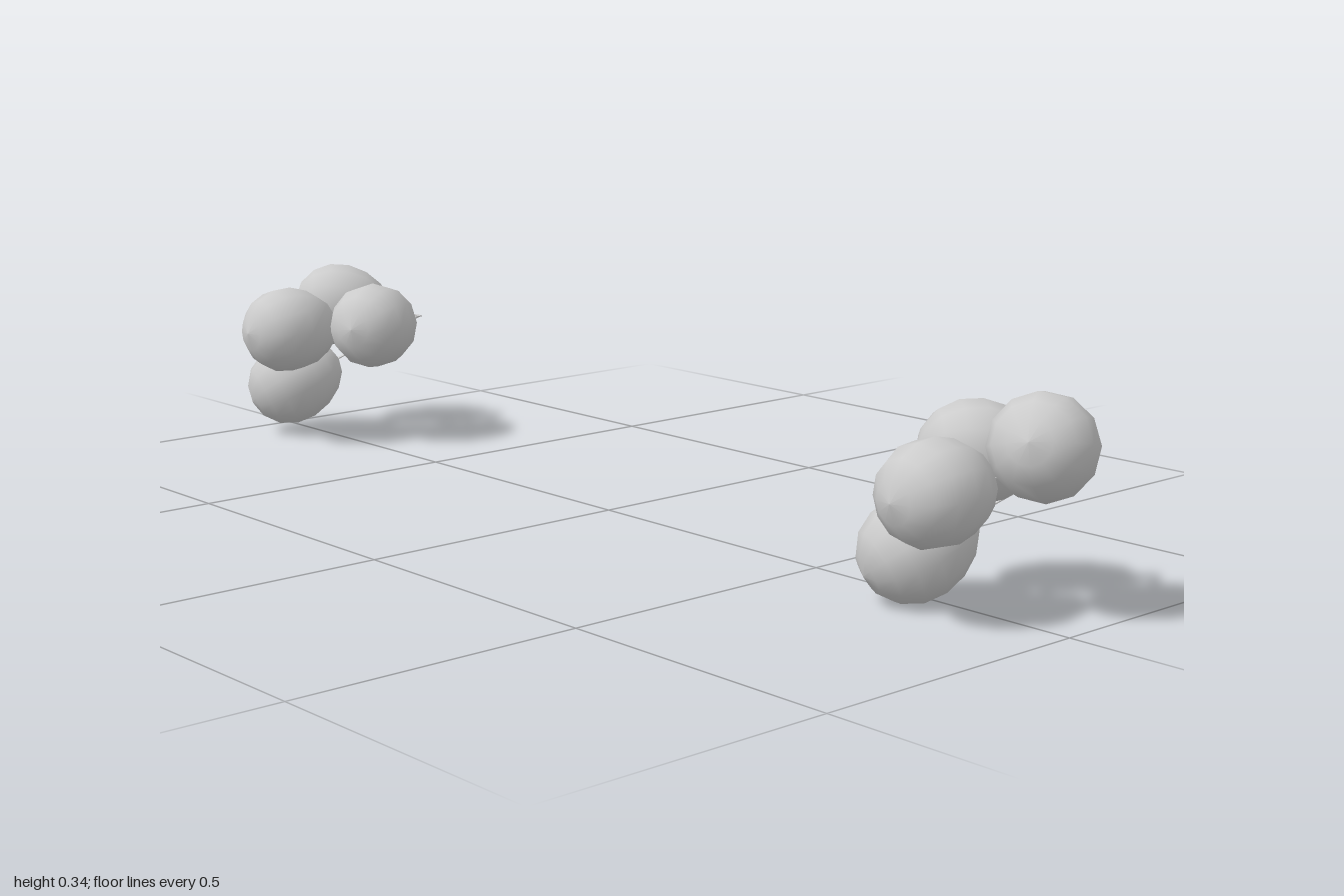
import * as THREE from 'three';

const grey = new THREE.MeshStandardMaterial({ color: 0xcccccc, side: THREE.DoubleSide });
const UP = new THREE.Vector3(0, 1, 0);
const HALF = 0.097;

// Each bunch: the point where the stems meet, then the centres of its pods
const bunches = [
  {
    name: 'rightBunch', knot: [-0.815, 0.221, -0.2],
    pods: [[-0.918, 0.102, 0.035], [-0.9, 0.246, -0.072], [-0.823, 0.226, 0.106], [-0.735, 0.23, -0.033]],
  },
  {
    name: 'leftBunch', knot: [0.845, 0.208, -0.2],
    pods: [[0.733, 0.086, 0.024], [0.757, 0.218, -0.082], [0.83, 0.198, 0.098], [0.915, 0.258, -0.037]],
  },
];

// Egg-like pod along +y, slightly narrower at the stem end
function podGeometry() {
  const profile = [];
  const rings = 8;
  for (let i = 0; i <= rings; i++) {
    const a = (i / rings) * Math.PI;
    const u = -Math.cos(a);
    profile.push(new THREE.Vector2(Math.max(0, 0.082 * Math.sin(a) * (1 + 0.1 * u)), HALF * u));
  }
  return new THREE.LatheGeometry(profile, 12);
}

// Thin flat strip between two points, kept level across its width
function stem(from, to) {
  const dir = to.clone().sub(from);
  const mesh = new THREE.Mesh(new THREE.BoxGeometry(0.012, 0.002, dir.length()), grey);
  mesh.position.copy(from).add(to).multiplyScalar(0.5);
  mesh.lookAt(to);
  mesh.name = 'stem';
  return mesh;
}

export function createModel() {
  const model = new THREE.Group();
  model.name = 'twoBunches';
  const podShape = podGeometry();

  for (const { name, knot, pods } of bunches) {
    const bunch = new THREE.Group();
    bunch.name = name;
    const start = new THREE.Vector3(...knot);
    for (const p of pods) {
      const centre = new THREE.Vector3(...p);
      const dir = centre.clone().sub(start).normalize();

      // Pod pointing away from the knot
      const pod = new THREE.Mesh(podShape, grey);
      pod.name = 'pod';
      pod.position.copy(centre);
      pod.quaternion.setFromUnitVectors(UP, dir);
      bunch.add(pod);

      // Stem ending just inside the pod
      bunch.add(stem(start, centre.clone().addScaledVector(dir, -HALF * 0.9)));
    }
    model.add(bunch);
  }
  return model;
}
